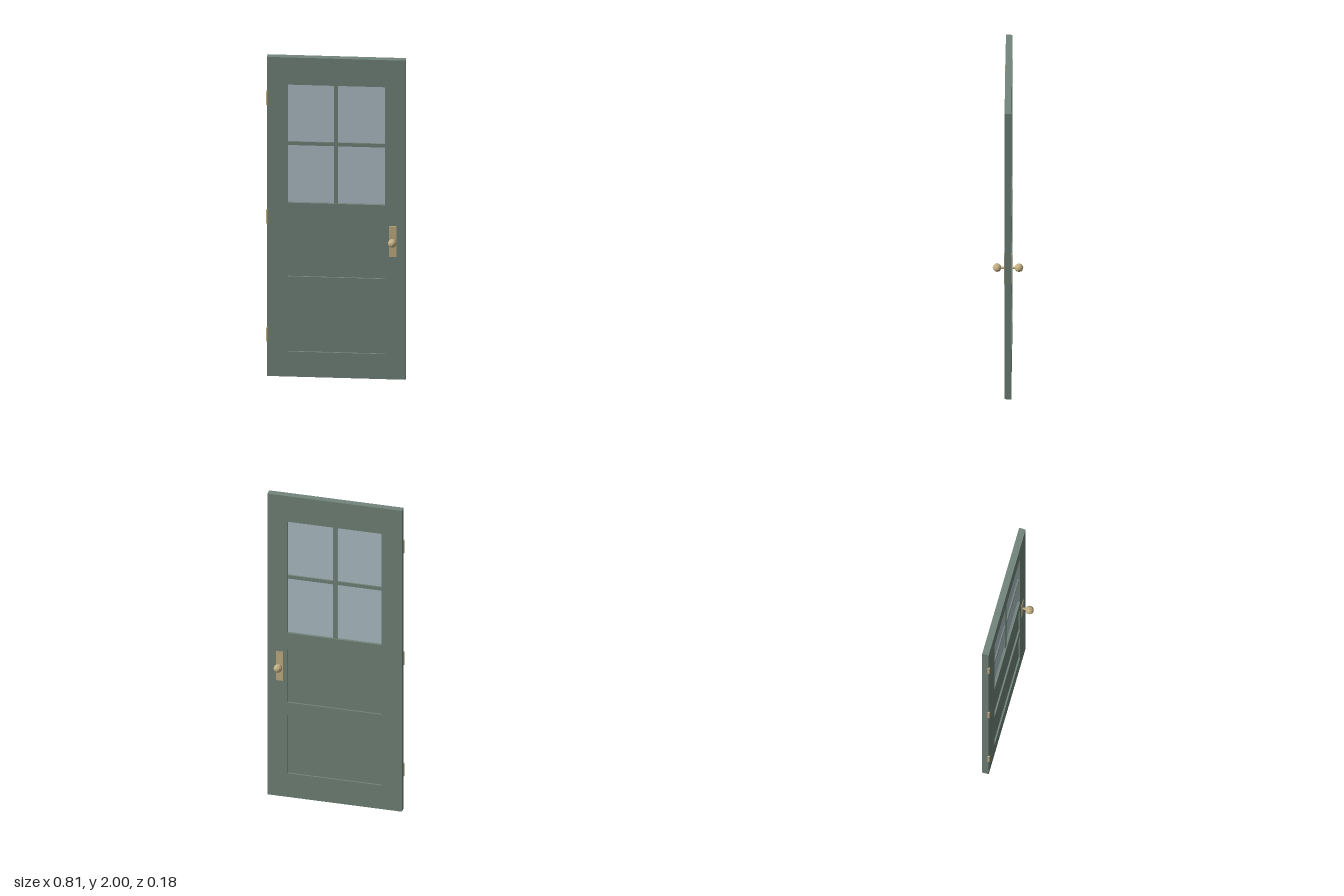
import * as THREE from 'three';

export function createModel() {
  const door = new THREE.Group();
  door.name = 'door';

  const paint = new THREE.MeshStandardMaterial({ color: 0x72857b, name: 'green paint' });
  const glass = new THREE.MeshStandardMaterial({ color: 0xb0c1c9, name: 'pale glass' });
  const brass = new THREE.MeshStandardMaterial({ color: 0xc4b083, name: 'brass' });
  // Faceted look for the knobs and barrels
  const faceted = (g) => {
    const flat = g.index ? g.toNonIndexed() : g;
    flat.computeVertexNormals();
    return flat;
  };

  const add = (name, geometry, material, x, y, z, parent = door) => {
    const mesh = new THREE.Mesh(geometry, material);
    mesh.name = name;
    mesh.position.set(x, y, z);
    parent.add(mesh);
    return mesh;
  };

  const cx = 0.003; // the slab sits slightly off centre because of the hinges
  const thickness = 0.039;
  const halfOpening = 0.28;
  const windowSpan = [1.09, 1.83];
  const panelSpans = [[0.157, 0.545], [0.628, 0.979]];

  // Frame of stiles and rails with three openings
  const outline = new THREE.Shape([
    new THREE.Vector2(-0.4, 0), new THREE.Vector2(0.4, 0),
    new THREE.Vector2(0.4, 2), new THREE.Vector2(-0.4, 2),
  ]);
  for (const [y0, y1] of [windowSpan, ...panelSpans]) {
    outline.holes.push(new THREE.Path([
      new THREE.Vector2(-halfOpening, y0), new THREE.Vector2(-halfOpening, y1),
      new THREE.Vector2(halfOpening, y1), new THREE.Vector2(halfOpening, y0),
    ]));
  }
  const frame = new THREE.ExtrudeGeometry(outline, { depth: thickness, bevelEnabled: false });
  add('frame', frame, paint, cx, 0, -thickness / 2);

  // Recessed lower panels
  for (const [y0, y1] of panelSpans) {
    add('panel', new THREE.BoxGeometry(halfOpening * 2, y1 - y0, 0.02), paint, cx, (y0 + y1) / 2, 0);
  }

  // Window pane and glazing bars
  const windowY = (windowSpan[0] + windowSpan[1]) / 2;
  const windowH = windowSpan[1] - windowSpan[0];
  add('windowPane', new THREE.BoxGeometry(halfOpening * 2, windowH, 0.008), glass, cx, windowY, 0);
  add('verticalBar', new THREE.BoxGeometry(0.023, windowH, 0.028), paint, cx - 0.002, windowY, 0);
  add('horizontalBar', new THREE.BoxGeometry(halfOpening * 2, 0.022, 0.027), paint, cx, windowY, 0);

  // Hinge barrels along the right-hand edge of the slab
  for (const y of [0.26, 1.0, 1.743]) {
    add('hinge', faceted(new THREE.CylinderGeometry(0.0065, 0.0065, 0.086, 8)), brass, -0.397, y, thickness / 2);
  }

  // Handle set on each face: backing plate, stem and knob
  for (const side of [1, -1]) {
    const handle = new THREE.Group();
    handle.name = side > 0 ? 'frontHandle' : 'backHandle';
    handle.position.set(0.329, 0.872, 0);
    door.add(handle);
    add('plate', new THREE.BoxGeometry(0.042, 0.192, 0.006), brass, 0, -0.007, side * 0.0195, handle);
    const stem = add('stem', faceted(new THREE.CylinderGeometry(0.007, 0.007, 0.04, 8)), brass, 0, 0, side * 0.035, handle);
    stem.rotation.x = Math.PI / 2;
    add('knob', faceted(new THREE.IcosahedronGeometry(0.0255, 1)), brass, 0, 0, side * 0.063, handle);
  }

  return door;
}
